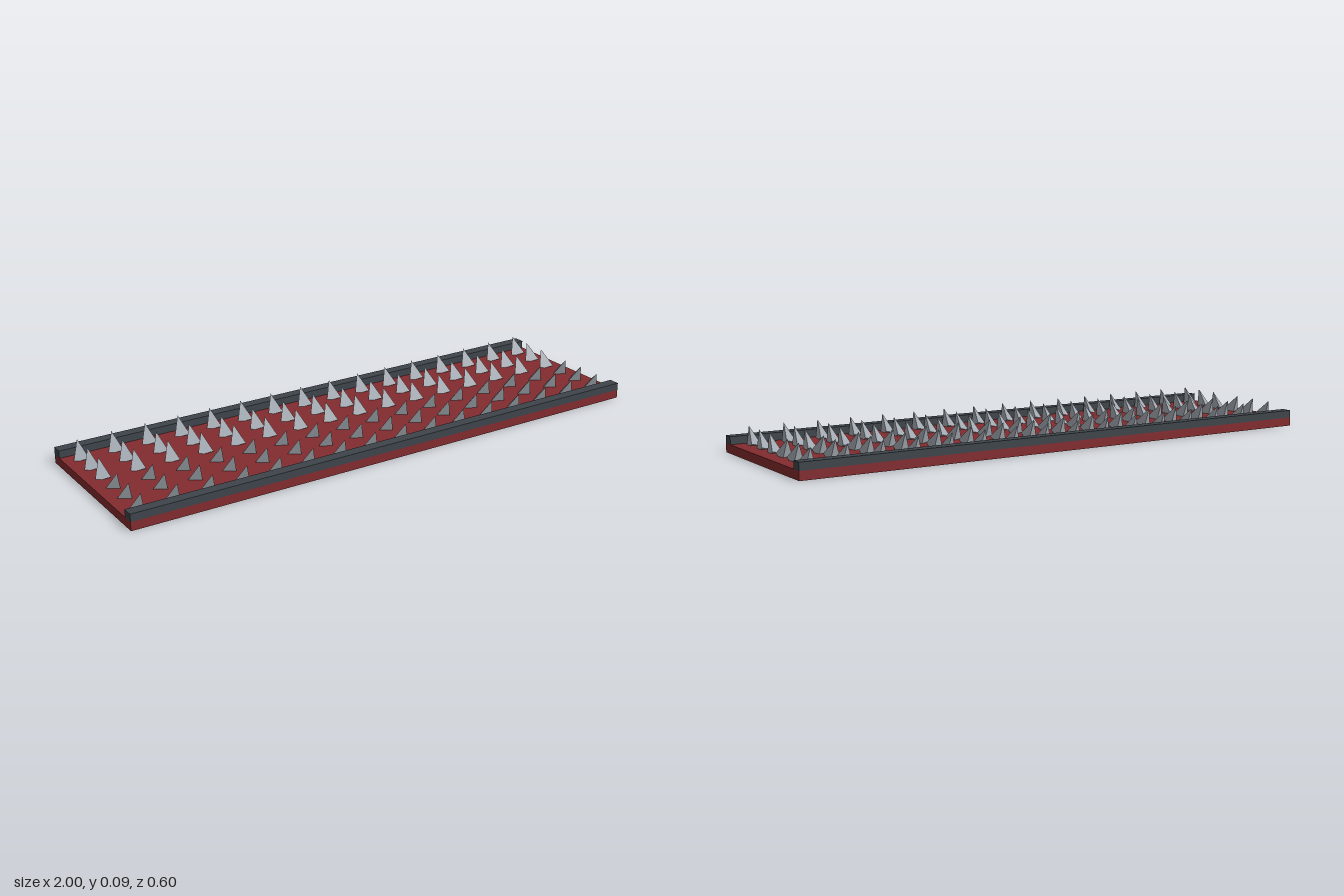
import * as THREE from 'three';

export function createModel() {
  const group = new THREE.Group();
  const material = (name, color, flatShading = false) => {
    const m = new THREE.MeshStandardMaterial({ color, flatShading });
    m.name = name;
    return m;
  };
  const red = material('dark red', 0x822b2e);
  const charcoal = material('charcoal', 0x3d444a);
  const steel = material('steel grey', 0xa4abb3, true);

  const add = (name, geometry, mat, x, y, z) => {
    const mesh = new THREE.Mesh(geometry, mat);
    mesh.name = name;
    mesh.position.set(x, y, z);
    group.add(mesh);
    return mesh;
  };

  // Base plate
  add('basePlate', new THREE.BoxGeometry(2, 0.031, 0.6), red, 0, 0.0155, 0);

  // Raised rails along both long edges
  const railGeometry = new THREE.BoxGeometry(2, 0.027, 0.04);
  for (const side of [1, -1]) {
    add(side > 0 ? 'frontRail' : 'backRail', railGeometry, charcoal, 0, 0.0445, side * 0.28);
  }

  // Three-sided spikes, one corner toward -x, base centre at the origin
  const height = 0.075;
  const spikeGeometry = new THREE.ConeGeometry(0.0315, height, 3, 1, false, -Math.PI / 2);
  spikeGeometry.translate(0, height / 2, 0);

  // Rows lean outward from the middle, partly sunk into the plate
  const tilt = THREE.MathUtils.degToRad(28);
  for (const side of [1, -1]) {
    for (const z of [0.038, 0.125, 0.213]) {
      for (let i = 0; i < 16; i++) {
        const spike = add('spike', spikeGeometry, steel, -0.9375 + i * 0.125, 0.026, side * z);
        spike.rotation.x = side * tilt;
      }
    }
  }
  return group;
}
